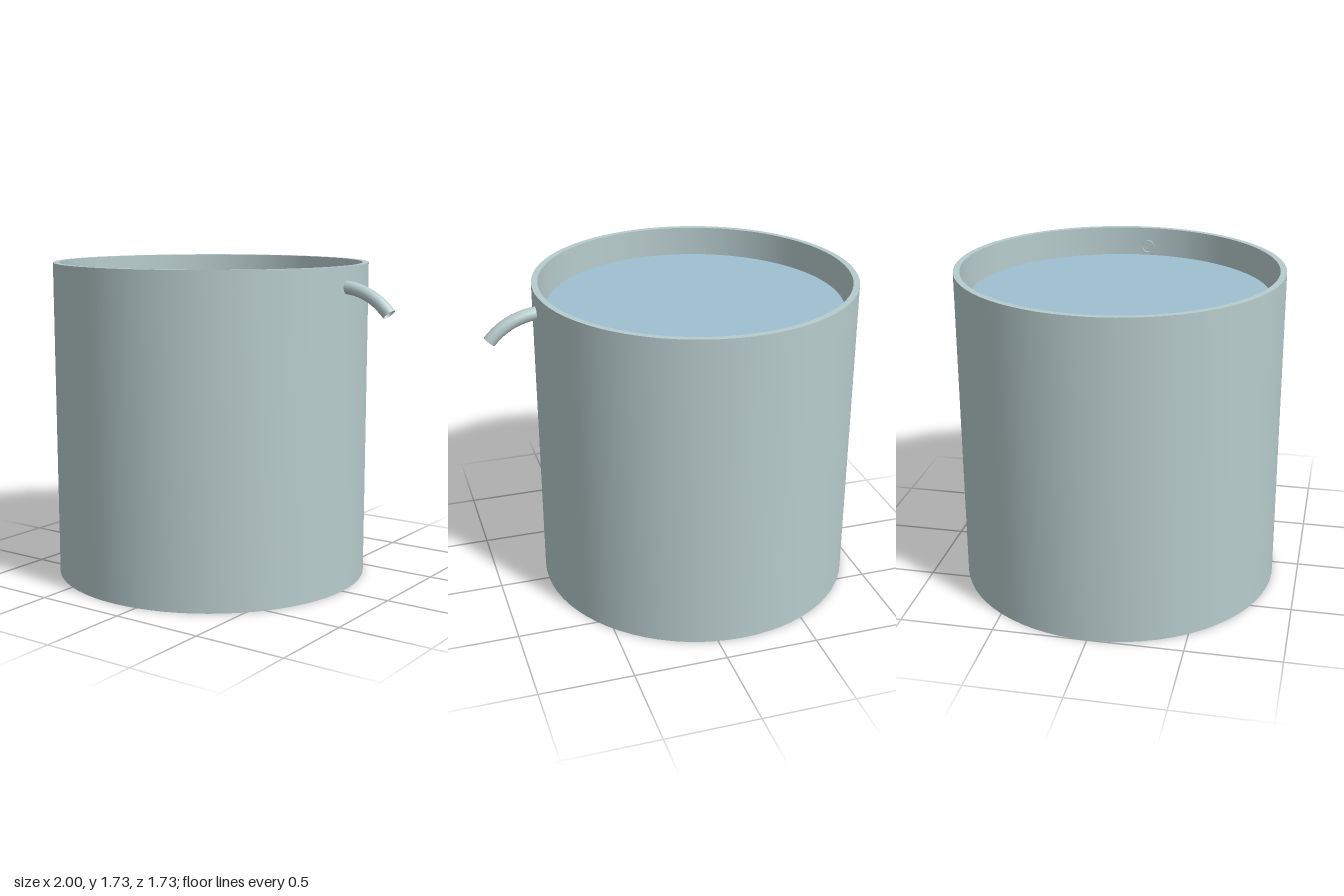
import * as THREE from 'three';
import { toCreasedNormals } from 'three/addons/utils/BufferGeometryUtils.js';

const glass = new THREE.MeshStandardMaterial({ color: 0xb8cccd });
glass.name = 'paleGreyGlass';
const spoutGlass = new THREE.MeshStandardMaterial({ color: 0xb8cccd, side: THREE.DoubleSide });
spoutGlass.name = 'spoutGlass';
const blue = new THREE.MeshStandardMaterial({ color: 0x9ec0d2 });
blue.name = 'waterBlue';

const CENTRE_X = -0.137, RADIUS = 0.863, HEIGHT = 1.73, WALL = 0.033;
const WATER_RADIUS = 0.796, WATER_LEVEL = 1.58;

function addMesh(group, name, geometry, material) {
  const mesh = new THREE.Mesh(geometry, material);
  mesh.name = name;
  group.add(mesh);
  return mesh;
}

export function createModel() {
  const model = new THREE.Group();
  model.name = 'overflowVessel';

  // Hollow vessel: underside, outer wall, flat rim, inner wall and floor
  const inner = RADIUS - WALL;
  const profile = [
    [0, 0], [RADIUS, 0], [RADIUS, HEIGHT], [inner, HEIGHT], [inner, WALL], [0, WALL],
  ].map(([r, y]) => new THREE.Vector2(r, y));
  const wall = toCreasedNormals(new THREE.LatheGeometry(profile, 72), 0.6);
  addMesh(model, 'vessel', wall, glass).position.x = CENTRE_X;

  // Water, a little narrower than the inner wall
  const depth = WATER_LEVEL - WALL;
  const water = new THREE.CylinderGeometry(WATER_RADIUS, WATER_RADIUS, depth, 72);
  addMesh(model, 'water', water, blue).position.set(CENTRE_X, WALL + depth / 2, 0);

  // Open spout that passes through the wall and bends downward
  const path = new THREE.QuadraticBezierCurve3(
    new THREE.Vector3(0.68, 1.624, 0),
    new THREE.Vector3(0.86, 1.624, 0),
    new THREE.Vector3(0.972, 1.494, 0),
  );
  addMesh(model, 'spout', new THREE.TubeGeometry(path, 12, 0.035, 12, false), spoutGlass);

  return model;
}
